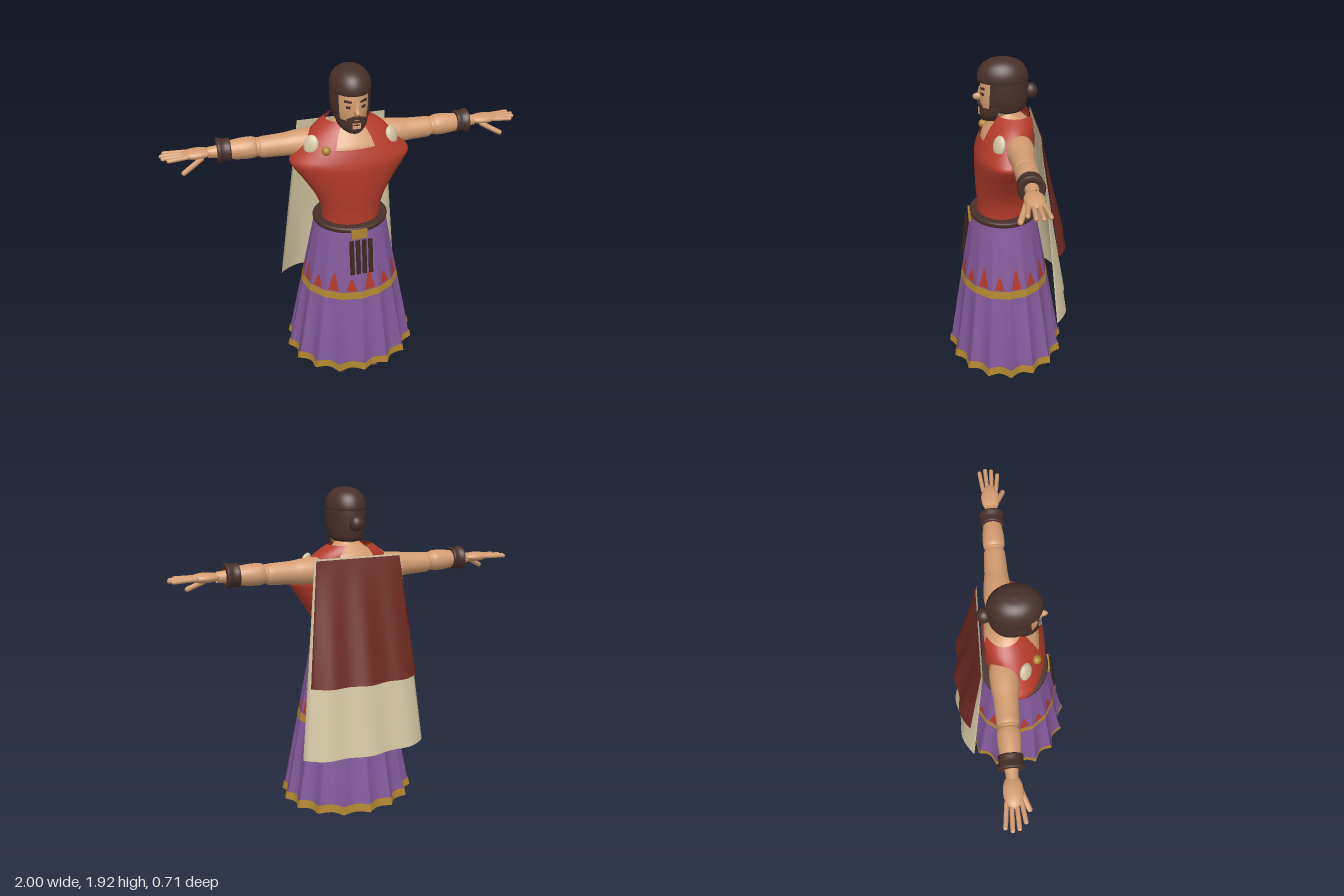
import * as THREE from 'three';
import { ParametricGeometry } from 'three/addons/geometries/ParametricGeometry.js';

const mat = (name, color) => new THREE.MeshStandardMaterial({ name, color, side: THREE.DoubleSide });
const lerp = THREE.MathUtils.lerp;
const PI = Math.PI;

export function createModel() {
  const root = new THREE.Group();
  root.name = 'robedFigure';
  const skin = mat('skin', 0xd39c70), red = mat('tunic red', 0xb43b2a), purple = mat('skirt purple', 0x83599a);
  const gold = mat('gold', 0xb0862f), brown = mat('dark brown', 0x48302a), strap = mat('tassel brown', 0x39261d);
  const maroon = mat('cape maroon', 0x6e2a22), cream = mat('cream', 0xd3c6a2);

  const add = (name, geo, material, pos = [0, 0, 0], parent = root) => {
    const m = new THREE.Mesh(geo, material);
    m.name = name;
    m.position.set(...pos);
    parent.add(m);
    return m;
  };
  const surface = (fn, nu, nv) => new ParametricGeometry((u, v, t) => t.set(...fn(u, v)), nu, nv);
  // Smooth loft through rings [y, halfWidth, zFront, zBack]; angle 0 is the front
  const loft = (rings, a0 = 0, a1 = 2 * PI, nu = 40) => {
    const A = new THREE.CatmullRomCurve3(rings.map(r => new THREE.Vector3(r[0], r[1], r[2])), false, 'catmullrom');
    const B = new THREE.CatmullRomCurve3(rings.map(r => new THREE.Vector3(r[3], 0, 0)), false, 'catmullrom');
    return surface((u, v) => {
      const p = A.getPoint(v), zb = B.getPoint(v).x, a = lerp(a0, a1, u);
      return [p.y * Math.sin(a), p.x, (p.z + zb) / 2 + (p.z - zb) / 2 * Math.cos(a)];
    }, nu, rings.length * 4);
  };
  const ball = (r, sx = 1, sy = 1, sz = 1) => new THREE.SphereGeometry(r, 20, 14).scale(sx, sy, sz);
  const box = (x, y, z) => new THREE.BoxGeometry(x, y, z);

  // Skirt with sixteen pleats that deepen toward the hem
  const skirtPoint = (a, y, pleat = 1, off = 0) => {
    const t = (1.035 - y) / 0.915;
    const f = 1 - pleat * 0.1 * t * Math.abs(Math.sin(8 * a));
    const zf = 0.205 + 0.145 * t, zb = -0.165 - 0.17 * t;
    return [((0.205 + 0.187 * t) * f + off) * Math.sin(a), y,
      (zf + zb) / 2 + ((zf - zb) / 2 * f + off) * Math.cos(a)];
  };
  const ring = (y0, y1, pleat, off, nv) =>
    surface((u, v) => skirtPoint(u * 2 * PI, lerp(y0, y1, v), pleat, off), 192, nv);
  add('skirt', ring(0.125, 1.035, 1, 0, 12), purple);
  add('skirtHem', ring(0.12, 0.167, 1, 0.007, 2), gold);
  add('skirtBand', ring(0.605, 0.65, 0.45, 0.001, 2), gold);
  for (let k = 0; k < 16; k++) {
    const mid = (k + 0.5) * PI / 8, high = k % 2 ? 0.73 : 0.77;
    add('skirtPoint', surface((u, v) =>
      skirtPoint(mid + (u - 0.5) * 0.24 * (1 - 0.8 * v), lerp(0.655, high, v), 1, 0.005), 6, 4), red);
  }

  // Belt, buckle and hanging tassels
  add('belt', loft([[1.022, 0.208, 0.208, -0.17], [1.03, 0.212, 0.212, -0.174],
    [1.05, 0.208, 0.206, -0.168], [1.053, 0.15, 0.15, -0.1]]), brown);
  add('buckle', box(0.09, 0.055, 0.02), gold, [0, 1.015, 0.21]);
  for (let i = 0; i < 4; i++) {
    const t = add('tassel', box(0.024, 0.21, 0.008), strap, [-0.05 + i * 0.036, 0.88, 0.245]);
    t.rotation.x = -0.13;
  }

  // Tunic body and the shoulder straps around the scooped neckline
  add('tunic', loft([[1.04, 0.165, 0.17, -0.11], [1.12, 0.172, 0.17, -0.1], [1.2, 0.2, 0.175, -0.11],
    [1.3, 0.26, 0.178, -0.13], [1.38, 0.315, 0.178, -0.14], [1.42, 0.332, 0.172, -0.145],
    [1.46, 0.3, 0.16, -0.15], [1.5, 0.262, 0.145, -0.15]], 0, 2 * PI, 64), red);
  for (const s of [1, -1]) {
    add('shoulderStrap', loft([[1.5, 0.262, 0.145, -0.15], [1.54, 0.228, 0.122, -0.15],
      [1.58, 0.185, 0.092, -0.148], [1.62, 0.125, 0.06, -0.135]], s * 0.42, s * 2.65, 24), red);
  }
  add('chestAndNeck', loft([[1.46, 0.26, 0.145, -0.135], [1.51, 0.235, 0.13, -0.138], [1.56, 0.175, 0.09, -0.13],
    [1.595, 0.105, 0.068, -0.1], [1.64, 0.062, 0.068, -0.06], [1.72, 0.056, 0.07, -0.06]]), skin);
  add('brooch', ball(0.024), gold, [-0.155, 1.5, 0.118]);

  // Arms, mirrored
  const lathe = pts => new THREE.LatheGeometry(
    new THREE.SplineCurve(pts.map(p => new THREE.Vector2(...p))).getPoints(pts.length * 4), 24).rotateZ(-PI / 2);
  const finger = (parent, a, b, r) => {
    const p = new THREE.Vector3(...a), d = new THREE.Vector3(...b).sub(p);
    const m = add('finger', new THREE.CapsuleGeometry(r, d.length() - r, 4, 8), skin,
      p.clone().addScaledVector(d, 0.5).toArray(), parent);
    m.quaternion.setFromUnitVectors(new THREE.Vector3(0, 1, 0), d.normalize());
  };
  for (const s of [1, -1]) {
    const arm = new THREE.Group();
    arm.name = s > 0 ? 'leftArm' : 'rightArm';
    arm.position.set(0, 1.49, -0.05);
    if (s < 0) arm.scale.x = -1;
    root.add(arm);
    add('upperArm', lathe([[0.06, 0.13], [0.074, 0.2], [0.071, 0.28], [0.063, 0.34], [0.059, 0.42],
      [0.055, 0.475], [0.035, 0.49]]), skin, [0, -0.004, 0], arm);
    add('elbow', ball(0.051), skin, [0.49, 0, 0], arm);
    add('forearm', lathe([[0.035, 0.485], [0.055, 0.505], [0.058, 0.56], [0.05, 0.63], [0.034, 0.7],
      [0.029, 0.75]]), skin, [0, 0.002, 0], arm);
    add('cuff', lathe([[0.045, 0.632], [0.062, 0.634], [0.06, 0.665], [0.067, 0.7], [0.035, 0.702]]),
      brown, [0, 0.006, 0], arm);
    add('palm', ball(0.08, 1.05, 0.33, 0.62), skin, [0.805, 0.005, 0], arm);
    const reach = [0.965, 0.993, 1, 0.985];
    reach.forEach((x, i) => finger(arm, [0.85, 0.006, (i - 1.5) * -0.023],
      [x - 0.008, 0.004, (i - 1.5) * -0.033], 0.0115));
    finger(arm, [0.78, -0.01, 0.03], [0.89, -0.065, 0.075], 0.014);
    const pad = add('shoulderPad', ball(0.05, 0.85, 1.1, 0.42), cream, [s * 0.222, 1.515, 0.058]);
    pad.rotation.set(-0.35, s * 0.6, s * 0.3);
  }

  // Head, hair and bun
  add('face', loft([[1.59, 0.02, 0.09, -0.01], [1.62, 0.066, 0.127, -0.06], [1.68, 0.086, 0.14, -0.09],
    [1.75, 0.092, 0.141, -0.1], [1.83, 0.088, 0.13, -0.09]]), skin);
  add('hairCrown', loft([[1.798, 0.08, 0.12, -0.08], [1.8, 0.106, 0.153, -0.114], [1.845, 0.104, 0.15, -0.11],
    [1.885, 0.083, 0.125, -0.085], [1.91, 0.048, 0.08, -0.04], [1.918, 0.001, 0.021, 0.019]]), brown);
  add('hairSides', loft([[1.635, 0.075, 0.08, -0.08], [1.65, 0.09, 0.11, -0.1], [1.7, 0.102, 0.145, -0.112],
    [1.76, 0.106, 0.15, -0.115], [1.802, 0.106, 0.153, -0.114]], 1.02, 2 * PI - 1.02), brown);
  add('hairBun', ball(0.038, 1, 1.1, 1), brown, [0, 1.735, -0.128]);

  // Beard and facial features
  add('beard', loft([[1.578, 0.02, 0.11, 0.04], [1.59, 0.05, 0.137, -0.02], [1.62, 0.078, 0.147, -0.06],
    [1.665, 0.091, 0.147, -0.09]], -1.45, 1.45), brown);
  for (const s of [1, -1]) {
    add('sideburn', loft([[1.66, 0.091, 0.147, -0.09], [1.72, 0.097, 0.146, -0.1], [1.8, 0.097, 0.14, -0.1]],
      s * 0.95, s * 1.5, 8), brown);
    const put = (name, x, y, z, w, h, tilt) =>
      add(name, box(w, h, 0.008), brown, [s * x, y, z]).rotation.set(0, s * 0.35, s * tilt);
    put('moustache', 0.024, 1.675, 0.143, 0.05, 0.018, -0.35);
    put('eye', 0.039, 1.735, 0.129, 0.024, 0.014, 0);
    put('eyebrow', 0.041, 1.765, 0.128, 0.04, 0.011, 0.15);
  }
  add('lowerLip', box(0.042, 0.03, 0.008), skin, [0, 1.636, 0.147]);
  add('mouth', box(0.034, 0.006, 0.009), brown, [0, 1.643, 0.148]);
  add('nose', ball(0.03, 0.5, 0.65, 1), skin, [0, 1.712, 0.15]);
  add('noseBridge', box(0.014, 0.05, 0.02), skin, [0, 1.74, 0.14]).rotation.x = -0.25;

  // Cape: long cream lining under a shorter maroon layer, bowed backward
  const cape = (y0, y1, w0, w1, z0, zEdge, zMid) => surface((u, v) => {
    const s = 1 - 2 * u, bow = Math.pow(1 - s * s, 0.7);
    const wave = 0.01 * v * Math.cos(s * 9);
    return [s * lerp(w0, w1, v), lerp(y0, y1, v), lerp(z0, lerp(zEdge, zMid, bow), v) - wave];
  }, 40, 12);
  add('capeLining', cape(1.565, 0.48, 0.25, 0.37, -0.156, -0.265, -0.345), cream);
  add('capeOuter', cape(1.557, 0.89, 0.243, 0.318, -0.164, -0.265, -0.325), maroon);

  // Legs and open-toed shoes
  for (const s of [1, -1]) {
    const foot = new THREE.Group();
    foot.name = s > 0 ? 'leftFoot' : 'rightFoot';
    foot.position.x = s * 0.095;
    foot.rotation.y = s * 0.05;
    root.add(foot);
    add('leg', new THREE.CylinderGeometry(0.07, 0.038, 0.7, 20), skin, [0, 0.44, -0.035], foot);
    add('shoe', loft([[0.002, 0.002, 0.08, 0.06], [0.004, 0.05, 0.21, -0.07], [0.02, 0.062, 0.235, -0.085],
      [0.045, 0.06, 0.205, -0.09], [0.075, 0.054, 0.125, -0.092], [0.105, 0.047, 0.045, -0.09],
      [0.15, 0.043, 0.015, -0.08]]), brown, [0, 0, 0], foot);
    for (let i = 0; i < 5; i++) {
      add('toe', ball(0.012, 0.95, 0.8, 1.6), skin, [(i - 2) * 0.02, 0.046, 0.212 - Math.abs(i - 2) * 0.012], foot);
    }
  }
  return root;
}
